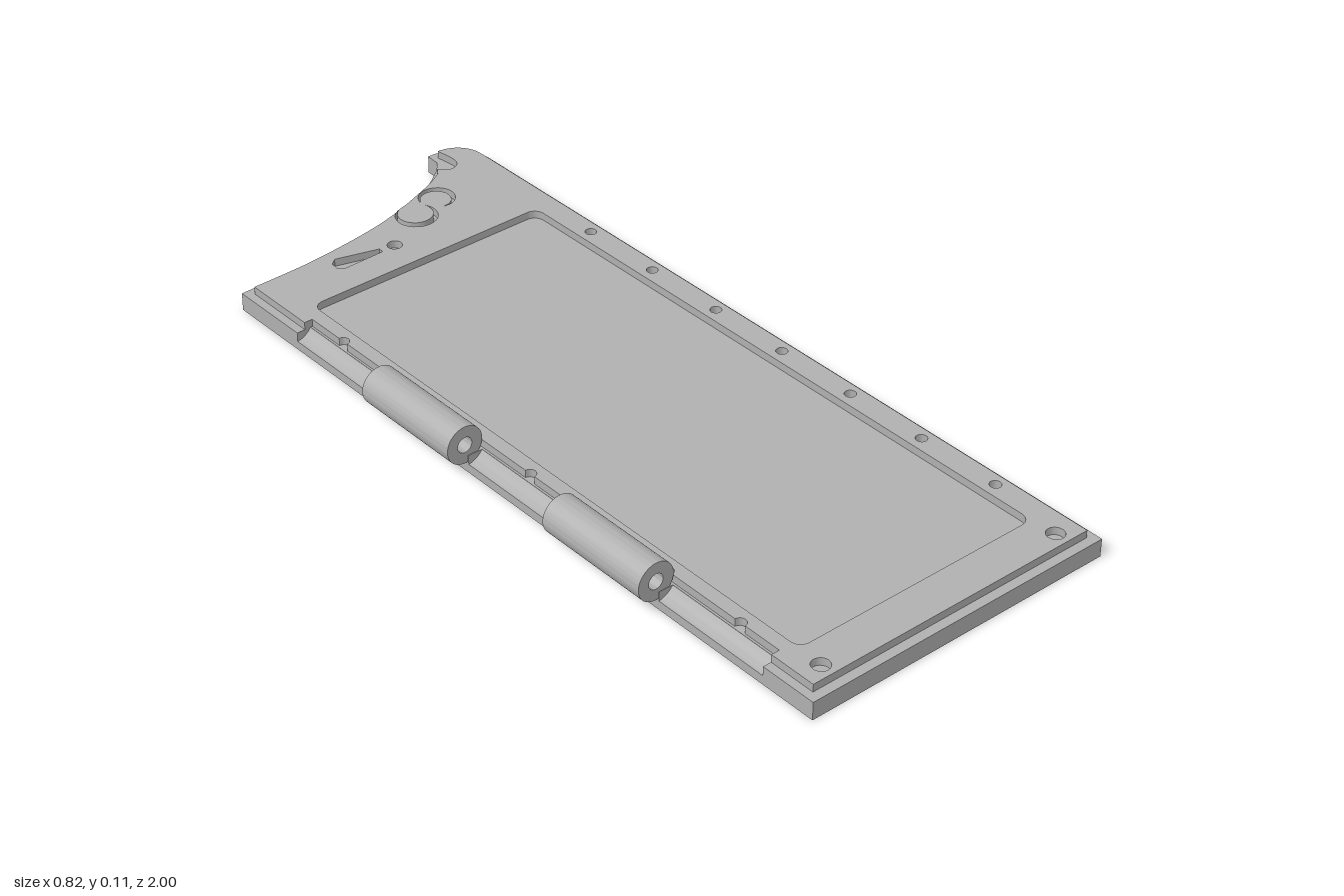
import * as THREE from 'three';
import { toCreasedNormals } from 'three/addons/utils/BufferGeometryUtils.js';

const V = (x, z) => new THREE.Vector2(x, -z); // plan point: shape y = -z
const BASE_TOP = 0.042, TOP = 0.06;
const GAPS = [[-0.595, -0.295], [-0.01, 0.285], [0.573, 0.865]];
const BARRELS = [[-0.295, -0.012], [0.287, 0.572]];
const PIN = { x: -0.365, y: 0.07, r: 0.044, bore: 0.018, clear: 0.05 };
const RIVET_Z = Array.from({ length: 7 }, (_, i) => -0.485 + i * 0.207);

const arc = (cx, cz, r, a0, a1, n = 12) => Array.from({ length: n + 1 }, (_, i) => {
  const a = a0 + (a1 - a0) * i / n;
  return new THREE.Vector2(cx + r * Math.cos(a), -cz + r * Math.sin(a));
});
const spline = (pts, n = 30) => new THREE.SplineCurve(pts.map(p => V(...p))).getPoints(n);

// Extrude a plan shape upwards between two heights
function slab(shape, y0, y1) {
  const g = new THREE.ExtrudeGeometry(shape, { depth: y1 - y0, bevelEnabled: false, curveSegments: 12 });
  g.rotateX(-Math.PI / 2).translate(0, y0, 0);
  return toCreasedNormals(g, 0.5);
}

// Extrude an x-y section along z
function bar(shape, z0, z1) {
  const g = new THREE.ExtrudeGeometry(shape, { depth: z1 - z0, bevelEnabled: false, curveSegments: 32 });
  return toCreasedNormals(g.translate(0, 0, z0), 0.5);
}

const circleHole = (x, z, r) => new THREE.Path(arc(x, z, r, 0, Math.PI * 2, 20).slice(0, -1));

// Moon-shaped hole with its opening in direction a
function crescentHole(x, z, r, a) {
  const h = 0.6, d = 0.2 * r;
  const tipX = r * Math.cos(h) - d, tipY = r * Math.sin(h);
  const inner = Math.hypot(tipX, tipY), k = Math.atan2(tipY, tipX);
  const out = arc(x, z, r, a + h, a + Math.PI * 2 - h, 24);
  const back = arc(x + d * Math.cos(a), z - d * Math.sin(a), inner, a + Math.PI * 2 - k, a + k, 24);
  return new THREE.Path([...out, ...back.slice(1, -1)]);
}

function roundedHole(x0, x1, z0, z1, r) {
  const q = Math.PI / 2;
  return new THREE.Path([
    ...arc(x1 - r, z0 + r, r, 0, q, 6), ...arc(x0 + r, z0 + r, r, q, 2 * q, 6),
    ...arc(x0 + r, z1 - r, r, 2 * q, 3 * q, 6), ...arc(x1 - r, z1 - r, r, 3 * q, 4 * q, 6)]);
}

function baseShape() {
  const pts = [V(-0.358, 1), V(0.407, 1),
    ...arc(0.312, -0.905, 0.095, 0, Math.PI / 2, 14), V(0.304, -1),
    ...spline([[0.302, -0.965], [0.27, -0.93], [0.19, -0.88], [0.03, -0.83], [-0.17, -0.803], [-0.358, -0.798]])];
  // Clearance notches down the hinge side
  for (const [a, b] of GAPS) pts.push(V(-0.358, a), V(-0.323, a), V(-0.323, b), V(-0.358, b));
  return new THREE.Shape(pts);
}

function panelShape() {
  const edge = -0.318;
  const pts = [V(-0.338, 0.978), V(0.387, 0.978),
    ...arc(0.317, -0.91, 0.07, 0, Math.PI / 2, 12),
    // Curled notch at the tip, then the long sweeping edge
    ...spline([[0.318, -0.975], [0.323, -0.925], [0.31, -0.902], [0.285, -0.9], [0.267, -0.918]], 16),
    ...spline([[0.255, -0.9], [0.19, -0.867], [0.03, -0.812], [-0.17, -0.783], [-0.338, -0.778]], 24),
    V(-0.338, -0.595), V(edge, -0.595)];
  // Rivet bites along the hinge side
  for (const z of RIVET_Z) pts.push(...arc(edge, z, 0.014, Math.PI / 2, -Math.PI / 2, 8));
  pts.push(V(edge, 0.865), V(-0.338, 0.865));

  const shape = new THREE.Shape(pts);
  shape.holes.push(
    roundedHole(-0.285, 0.329, -0.638, 0.884, 0.025),
    circleHole(-0.288, 0.945, 0.02), circleHole(0.333, 0.945, 0.02),
    circleHole(-0.004, -0.72, 0.017),
    new THREE.Path([V(-0.04, -0.728), V(-0.14, -0.757), V(-0.155, -0.745), V(-0.158, -0.722),
      V(-0.145, -0.713), V(-0.04, -0.715)]),
    crescentHole(0.108, -0.787, 0.048, 1.2),
    crescentHole(0.19, -0.82, 0.042, 3.74));
  for (const z of RIVET_Z) shape.holes.push(circleHole(0.36, z, 0.013));
  return shape;
}

export function createModel() {
  const model = new THREE.Group();
  const grey = new THREE.MeshStandardMaterial({ color: 0xb0b0b0 });
  grey.name = 'plain grey';
  const add = (geometry, name) => {
    const mesh = new THREE.Mesh(geometry, grey);
    mesh.name = name;
    model.add(mesh);
  };

  add(slab(baseShape(), 0, BASE_TOP), 'basePlate');
  add(slab(panelShape(), BASE_TOP, TOP), 'raisedFrame');

  // Hollowed edge sections that clear the opposite hinge barrels
  const a0 = Math.asin((BASE_TOP - PIN.y) / PIN.clear);
  const a1 = -Math.acos((-0.358 - PIN.x) / PIN.clear);
  const scoop = new THREE.Shape([new THREE.Vector2(-0.358, 0), new THREE.Vector2(-0.323, 0),
    ...arc(PIN.x, -PIN.y, PIN.clear, a0, a1, 10)]);
  for (const [a, b] of GAPS) add(bar(scoop, a, b), 'hingeClearance');

  // Hinge barrels with a bore for the pin
  const ring = new THREE.Shape().absarc(PIN.x, PIN.y, PIN.r, 0, Math.PI * 2);
  ring.holes.push(new THREE.Path().absarc(PIN.x, PIN.y, PIN.bore, 0, Math.PI * 2, true));
  for (const [a, b] of BARRELS) add(bar(ring, a, b), 'hingeBarrel');

  return model;
}
